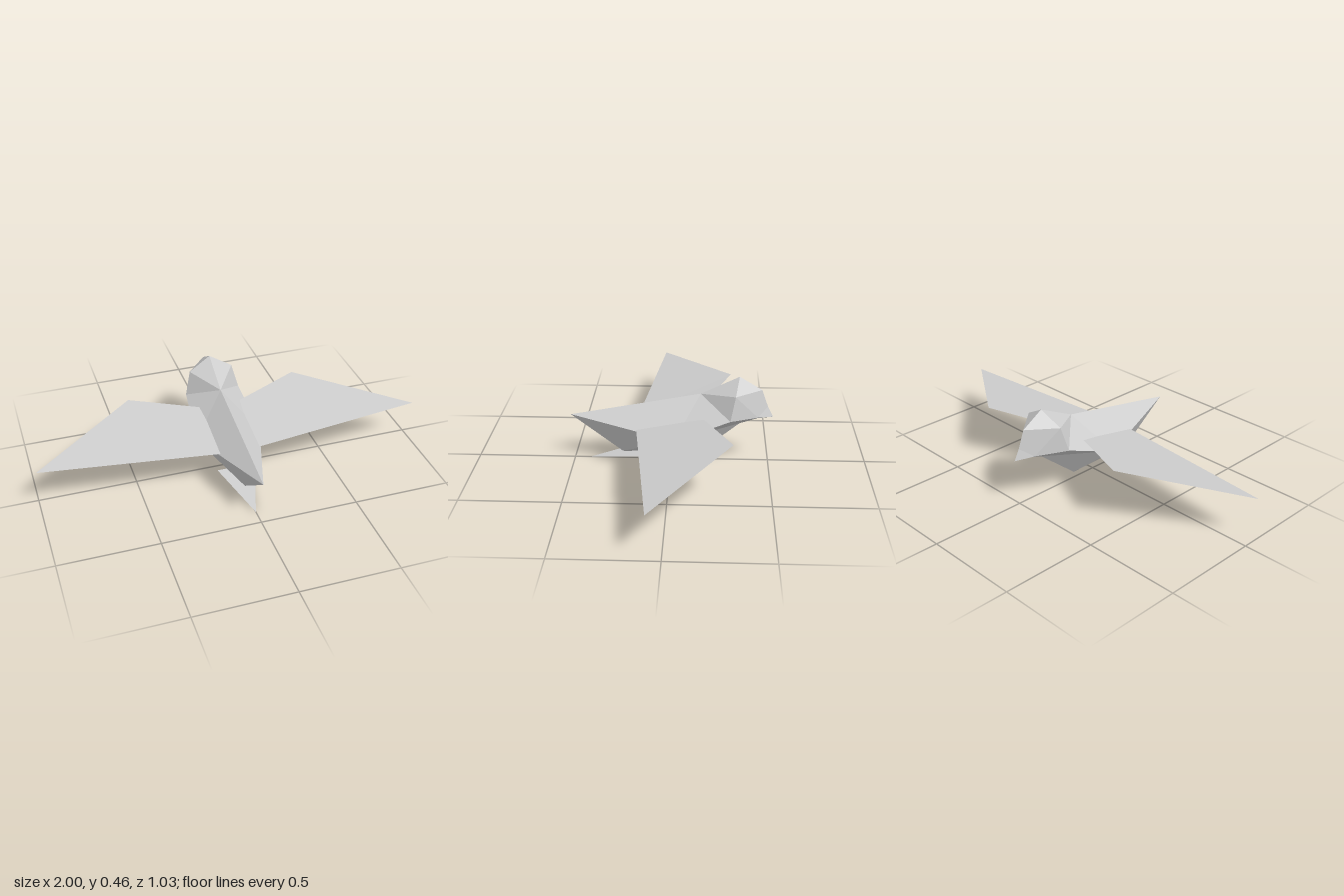
import * as THREE from 'three';

const plumage = new THREE.MeshStandardMaterial({ color: 0xcccccc, flatShading: true, side: THREE.DoubleSide });
plumage.name = 'plumage grey';

// Landmarks of the bird's left half (x >= 0); the head points to -z
const P = {
  tailEnd: [0, 0.24, 0.515], back: [0, 0.365, -0.15],
  flank: [0.17, 0.175, -0.02], shoulder: [0.145, 0.275, -0.3],
  temple: [0.115, 0.395, -0.325], crown: [0, 0.46, -0.345],
  brow: [0, 0.39, -0.46], bridge: [0, 0.3, -0.492], beak: [0, 0.245, -0.52],
  cheek: [0.055, 0.262, -0.44], chin: [0, 0.235, -0.44], throat: [0, 0.205, -0.35],
  breast: [0, 0.03, -0.135], belly: [0, 0.037, 0.25],
  wingRootFront: [0.1, 0.269, -0.165], wingBend: [0.455, 0.296, -0.31],
  wingTip: [1, 0.222, 0.07], wingRootBack: [0.1, 0.204, 0.172],
  fanSide: [0.1, 0.057, 0.11], fanRoot: [0, 0.057, 0.11], fanTip: [0, 0, 0.42],
};

// Faceted mesh from named triangles, on one side or on both
function facets(name, triangles, sides) {
  const positions = [];
  for (const s of sides) {
    for (const tri of triangles) {
      const names = tri.split(' ');
      if (s < 0) names.reverse();
      for (const n of names) positions.push(P[n][0] * s, P[n][1], P[n][2]);
    }
  }
  const geometry = new THREE.BufferGeometry();
  geometry.setAttribute('position', new THREE.Float32BufferAttribute(positions, 3));
  geometry.computeVertexNormals();
  const mesh = new THREE.Mesh(geometry, plumage);
  mesh.name = name;
  return mesh;
}

export function createModel() {
  const bird = new THREE.Group();
  bird.name = 'bird';

  // Body: sloping back, flanks and keel
  bird.add(facets('body', [
    'tailEnd flank back', 'flank shoulder back', 'shoulder temple back',
    'flank throat shoulder', 'flank breast throat',
    'belly breast flank', 'tailEnd belly flank',
  ], [1, -1]));

  // Head: crown, face and short beak
  bird.add(facets('head', [
    'back temple crown', 'temple brow crown', 'shoulder cheek temple',
    'cheek brow temple', 'cheek bridge brow', 'cheek beak bridge',
    'shoulder throat cheek', 'throat chin cheek', 'chin beak cheek',
  ], [1, -1]));

  // Wings: thin flat sheets
  for (const [name, s] of [['leftWing', 1], ['rightWing', -1]]) {
    bird.add(facets(name, [
      'wingRootBack wingTip wingBend', 'wingRootBack wingBend wingRootFront',
    ], [s]));
  }

  // Tail fan below the body
  bird.add(facets('tailFan', ['fanRoot fanTip fanSide'], [1, -1]));

  return bird;
}
